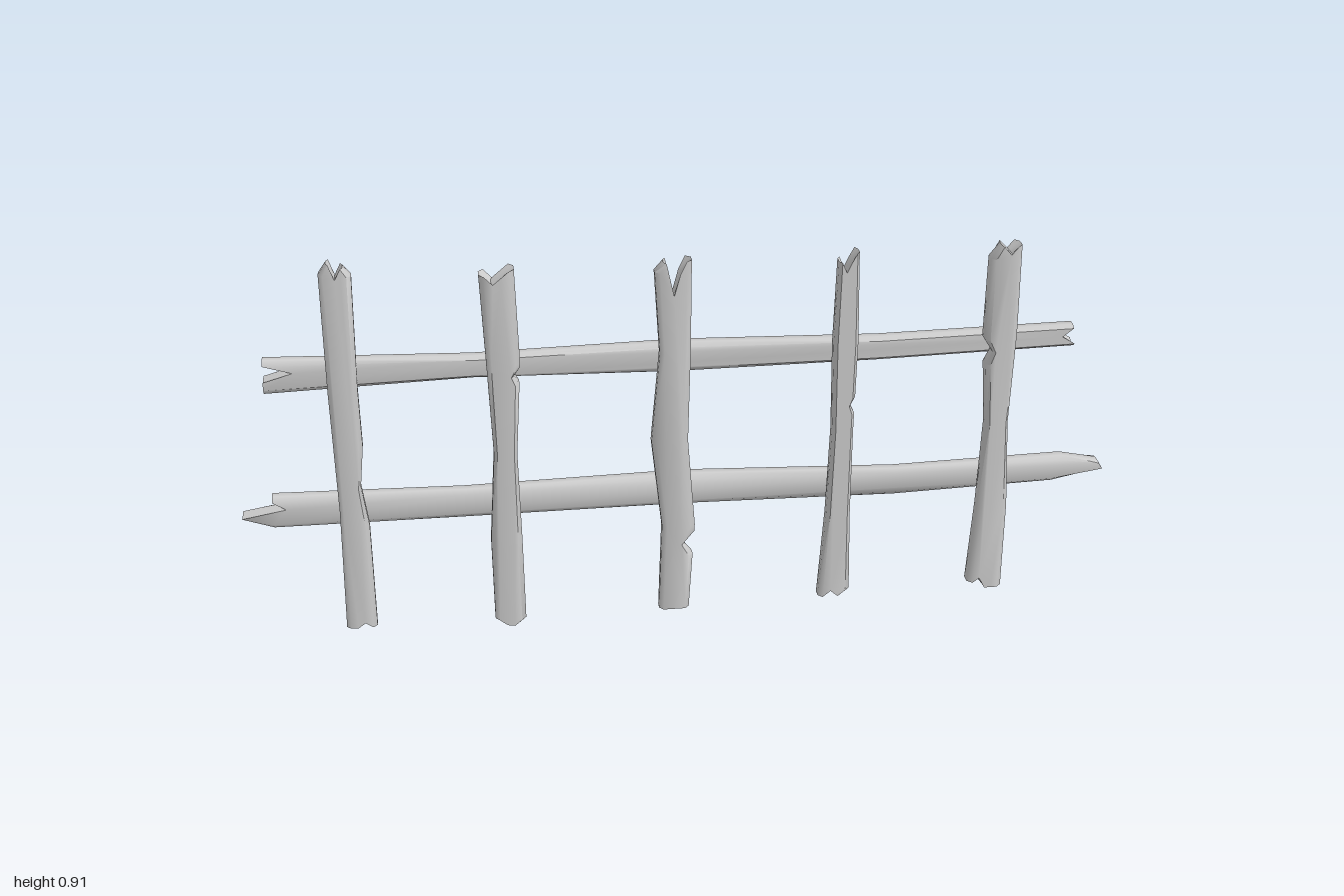
import * as THREE from 'three';
import { toCreasedNormals } from 'three/addons/utils/BufferGeometryUtils.js';

const material = new THREE.MeshStandardMaterial({ color: 0xcccccc });

// Linear interpolation through evenly spaced values, k from 0 to 1
function sample(values, k) {
  const s = THREE.MathUtils.clamp(k, 0, 1) * (values.length - 1);
  const i = Math.min(Math.floor(s), values.length - 2);
  return THREE.MathUtils.lerp(values[i], values[i + 1], s - i);
}

// Rough plank running along x or y, with chamfered long edges.
// span: start and end along its run; edges a and b: evenly spaced positions across it;
// startJag and endJag: splinter depths from edge a to edge b; nick: [edge, position, depth, half length]
function board({ name, run, z, span, a, b, startJag, endJag, nick }) {
  const along = run === 'y' ? 1 : 0;
  const [from, to] = span;
  const fraction = t => (t - from) / (to - from);

  const longEdge = own => {
    const points = own.slice(1, -1).map((v, i) =>
      [THREE.MathUtils.lerp(from, to, (i + 1) / (own.length - 1)), v]);
    if (nick && (nick[0] === 'a' ? a : b) === own) {
      const [, at, depth, half] = nick;
      const inward = own === b ? Math.sign(a[0] - b[0]) : Math.sign(b[0] - a[0]);
      const clear = points.filter(p => Math.abs(p[0] - at) > half);
      for (const [shift, cut] of [[-half, 0], [0, depth], [half, 0]]) {
        clear.push([at + shift, sample(own, fraction(at + shift)) + inward * cut]);
      }
      return clear.sort((p, q) => p[0] - q[0]);
    }
    return points;
  };
  const brokenEnd = (jag, t, direction) => jag.map((depth, i) => {
    const along = t + direction * depth, k = fraction(along);
    return [along, THREE.MathUtils.lerp(sample(a, k), sample(b, k), i / (jag.length - 1))];
  });

  const outline = [
    ...longEdge(a), ...brokenEnd(endJag, to, -1),
    ...longEdge(b).reverse(), ...brokenEnd(startJag, from, 1).reverse(),
  ].map(([t, v]) => (along ? new THREE.Vector2(v, t) : new THREE.Vector2(t, v)));

  const depth = z[1] - z[0];
  const geo = new THREE.ExtrudeGeometry(new THREE.Shape(outline), { depth, steps: 3, bevelEnabled: false });

  // Pull the front and back faces towards the centre line to form the chamfers
  const pos = geo.attributes.position;
  const layers = [0, 0.26, 0.74, 1];
  for (let i = 0; i < pos.count; i++) {
    const layer = Math.round(pos.getZ(i) / depth * 3);
    pos.setZ(i, z[0] + layers[layer] * depth);
    if (layer === 0 || layer === 3) {
      const k = fraction(pos.getComponent(i, along));
      const middle = (sample(a, k) + sample(b, k)) / 2;
      const v = pos.getComponent(i, 1 - along);
      pos.setComponent(i, 1 - along, middle + (v - middle) * 0.72);
    }
  }
  const mesh = new THREE.Mesh(toCreasedNormals(geo, 0.9), material);
  mesh.name = name;
  return mesh;
}

export function createModel() {
  const fence = new THREE.Group();
  fence.name = 'fence';

  // Upright pickets, edge a on the model's right
  fence.add(board({
    name: 'picket1', run: 'y', z: [0, 0.037], span: [0.02, 0.915],
    a: [-0.785, -0.78, -0.785, -0.785], b: [-0.715, -0.716, -0.72, -0.715],
    startJag: [0, 0, 0.012, 0], endJag: [0.025, 0, 0.035, 0.01, 0.03],
    nick: ['b', 0.38, 0.012, 0.1],
  }));
  fence.add(board({
    name: 'picket2', run: 'y', z: [-0.003, 0.045], span: [0.003, 0.885],
    a: [-0.443, -0.445, -0.43, -0.438, -0.447], b: [-0.372, -0.374, -0.378, -0.364, -0.37],
    startJag: [0.017, 0.003, 0, 0.015], endJag: [0.01, 0.03, 0.015, 0],
    nick: ['b', 0.635, 0.013, 0.02],
  }));
  fence.add(board({
    name: 'picket3', run: 'y', z: [-0.002, 0.037], span: [0.015, 0.885],
    a: [-0.06, -0.052, -0.075, -0.055, -0.067], b: [0.01, 0.024, 0.008, 0.014, 0.016],
    startJag: [0, 0], endJag: [0.025, 0.003, 0.08, 0.03, 0],
    nick: ['b', 0.185, 0.025, 0.03],
  }));
  fence.add(board({
    name: 'picket4', run: 'y', z: [-0.003, 0.037], span: [0.02, 0.885],
    a: [0.318, 0.332, 0.339, 0.336, 0.342], b: [0.393, 0.388, 0.388, 0.392, 0.387],
    startJag: [0, 0.015, 0, 0.015], endJag: [0.02, 0.045, 0.02, 0],
    nick: ['b', 0.515, 0.01, 0.02],
  }));
  fence.add(board({
    name: 'picket5', run: 'y', z: [-0.005, 0.04], span: [0.018, 0.885],
    a: [0.678, 0.691, 0.698, 0.682, 0.684], b: [0.762, 0.762, 0.75, 0.756, 0.753],
    startJag: [0.015, 0.027, 0, 0, 0], endJag: [0.03, 0, 0.02, 0],
    nick: ['a', 0.63, 0.017, 0.03],
  }));

  // Rails behind the pickets, edge a on top
  fence.add(board({
    name: 'upperRail', run: 'x', z: [-0.043, -0.005], span: [-0.925, 0.905],
    a: [0.682, 0.667, 0.675, 0.662, 0.668], b: [0.602, 0.615, 0.604, 0.606, 0.615],
    startJag: [0.002, 0.065, 0, 0], endJag: [0.005, 0.03, 0],
  }));
  fence.add(board({
    name: 'lowerRail', run: 'x', z: [-0.045, -0.005], span: [-1, 1],
    a: [0.348, 0.337, 0.345, 0.325, 0.335], b: [0.269, 0.267, 0.267, 0.258, 0.272],
    startJag: [0.07, 0.1, 0, 0.07], endJag: [0.1, 0.01, 0, 0.12],
  }));
  return fence;
}
